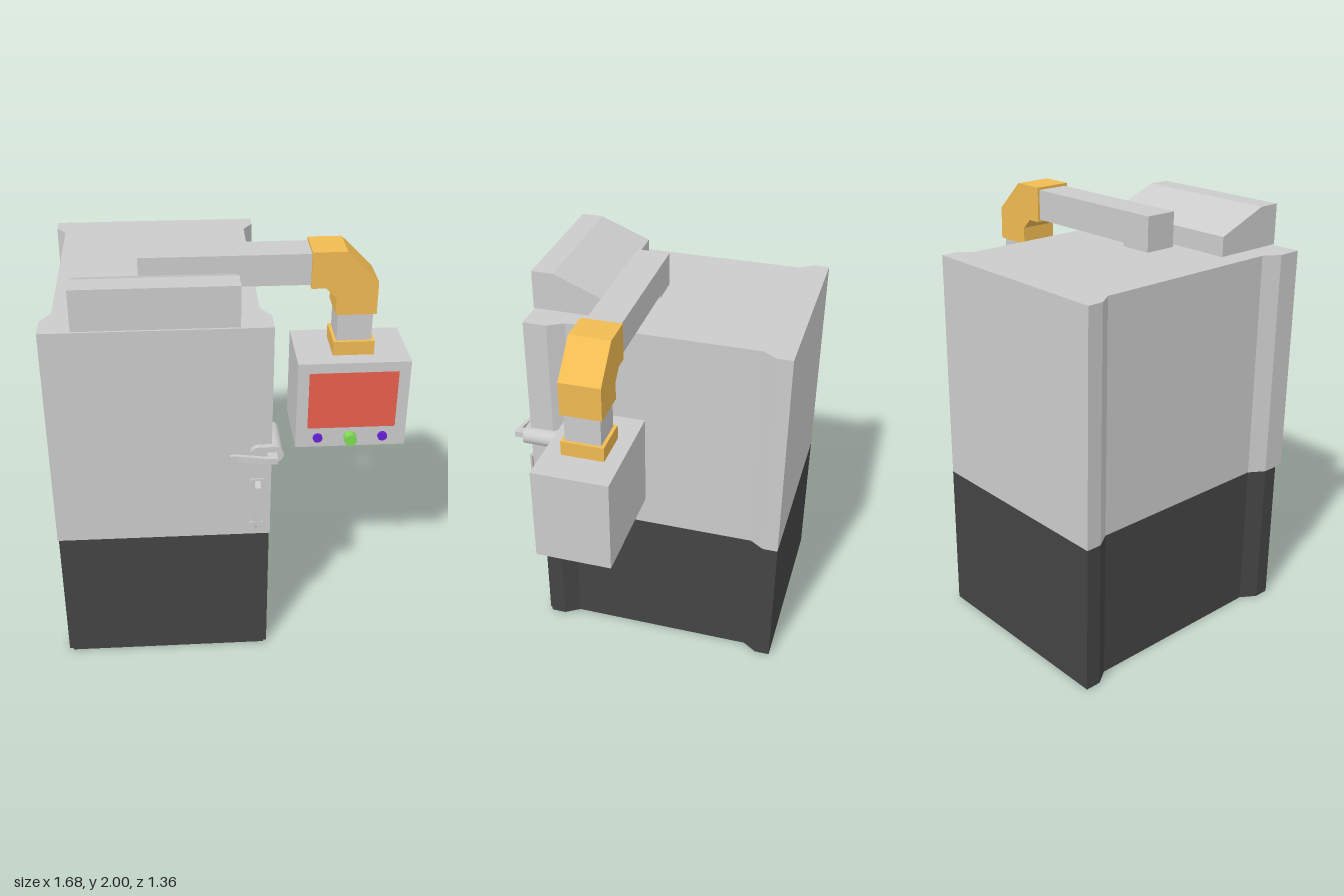
import * as THREE from 'three';

const paint = (color) => new THREE.MeshStandardMaterial({ color });
const grey = paint(0xcccccc);
const dark = paint(0x444444);
const amber = paint(0xf0bb52);
const red = paint(0xe8604c);
const green = paint(0x7fdc55);
const purple = paint(0x6a20d8);

export function createModel() {
  const model = new THREE.Group();

  const add = (name, geometry, material = grey) => {
    const mesh = new THREE.Mesh(geometry, material);
    mesh.name = name;
    model.add(mesh);
    return mesh;
  };

  // Box given by its limits on each axis
  const box = (name, [x0, x1], [y0, y1], [z0, z1], material) =>
    add(name, new THREE.BoxGeometry(x1 - x0, y1 - y0, z1 - z0), material)
      .position.set((x0 + x1) / 2, (y0 + y1) / 2, (z0 + z1) / 2);

  const extrude = (shape, depth) =>
    new THREE.ExtrudeGeometry(shape, { depth, bevelEnabled: false, curveSegments: 12 });
  const polygon = (points) => new THREE.Shape(points.map(([a, b]) => new THREE.Vector2(a, b)));

  // Plan outline of (x, z) points raised from y0 to y1
  const planPrism = (points, y0, y1) =>
    extrude(polygon(points.map(([x, z]) => [x, -z])), y1 - y0).rotateX(-Math.PI / 2).translate(0, y0, 0);

  // Side outline of (z, y) points swept from x0 to x1
  const sidePrism = (points, x0, x1) =>
    extrude(polygon(points.map(([z, y]) => [-z, y])), x1 - x0).rotateY(Math.PI / 2).translate(x0, 0, 0);

  // Rounded-end bar lying along x, swept from z0 to z1
  const capsulePrism = (x0, x1, y, r, z0, z1) => {
    const s = new THREE.Shape();
    s.absarc(x1 - r, y, r, -Math.PI / 2, Math.PI / 2, false);
    s.absarc(x0 + r, y, r, Math.PI / 2, Math.PI * 1.5, false);
    return extrude(s, z1 - z0).translate(0, 0, z0);
  };

  // Cabinet: waisted plan, mirrored about its own centre line
  const middle = -0.34;
  const halfPlan = [[0.5, 0.555], [0.5, 0.48], [0.453, 0.405], [0.453, -0.535], [0.5, -0.605], [0.5, -0.68]];
  const plan = [
    ...halfPlan.map(([w, z]) => [middle + w, z]),
    ...halfPlan.map(([w, z]) => [middle - w, z]).reverse(),
  ];
  add('lowerCabinet', planPrism(plan, 0, 0.717), dark);
  add('upperCabinet', planPrism(plan, 0.717, 1.805));
  box('lowerFrontPanel', [-0.82, 0.143], [0.005, 0.71], [0.55, 0.571], dark);
  box('door', [-0.84, 0.16], [0.72, 1.805], [0.555, 0.597]);

  // Sloped hood on top of the door side
  add('hood', sidePrism([[0.597, 1.81], [0.597, 2], [0.49, 2], [0.24, 1.9], [0.24, 1.81]], -0.7, 0.017));
  box('hoodBase', [-0.69, 0.007], [1.8, 1.812], [0.25, 0.587]);

  // Swing arm with elbow, drop post and collar
  box('armFoot', [-0.417, -0.257], [1.8, 1.825], [0.05, 0.213]);
  box('arm', [-0.417, 0.4], [1.822, 1.972], [0.05, 0.213]);
  const elbow = polygon([
    [0.363, 1.985], [0.52, 1.985], [0.67, 1.835], [0.67, 1.675],
    [0.48, 1.675], [0.48, 1.76], [0.43, 1.81], [0.363, 1.81],
  ]);
  add('elbow', extrude(elbow, 0.192).translate(0, 0, 0.038), amber);
  box('dropPost', [0.492, 0.656], [1.53, 1.69], [0.05, 0.218]);
  box('collar', [0.477, 0.671], [1.468, 1.538], [0.034, 0.234], amber);

  // Control box with screen and buttons
  box('controlBox', [0.305, 0.836], [1.015, 1.468], [-0.04, 0.315]);
  box('screen', [0.36, 0.782], [1.12, 1.418], [0.3, 0.317], red);
  const buttons = [
    ['leftButton', 0.725, 0.023, 0.328, purple],
    ['middleButton', 0.567, 0.03, 0.357, green],
    ['rightButton', 0.411, 0.023, 0.328, purple],
  ];
  for (const [name, x, r, z1, material] of buttons) {
    const length = z1 - 0.305;
    add(name, new THREE.CylinderGeometry(r, r, length, 28).rotateX(Math.PI / 2), material)
      .position.set(x, 1.068, 0.305 + length / 2);
  }

  // Door latch: rounded housing and cranked lever
  add('latchHousing', capsulePrism(0.06, 0.212, 1.18, 0.041, 0.403, 0.623));
  add('latchLever', planPrism([
    [0.18, 0.62], [0.18, 0.678], [0.13, 0.675], [0, 0.647], [-0.033, 0.647],
    [-0.033, 0.631], [0.005, 0.631], [0.135, 0.657], [0.135, 0.62],
  ], 1.163, 1.193));

  // Pull handle: bracket bar on two rounded feet
  add('pullHandle', sidePrism([
    [0.595, 0.775], [0.628, 0.782], [0.638, 0.792], [0.638, 1.008], [0.628, 1.02], [0.595, 1.027],
    [0.595, 1.012], [0.628, 1.003], [0.628, 0.797], [0.595, 0.79],
  ], 0.084, 0.11));
  for (const y of [0.78, 1.022]) {
    add('pullHandleFoot', capsulePrism(0.06, 0.134, y, 0.014, 0.59, 0.604));
  }

  return model;
}
